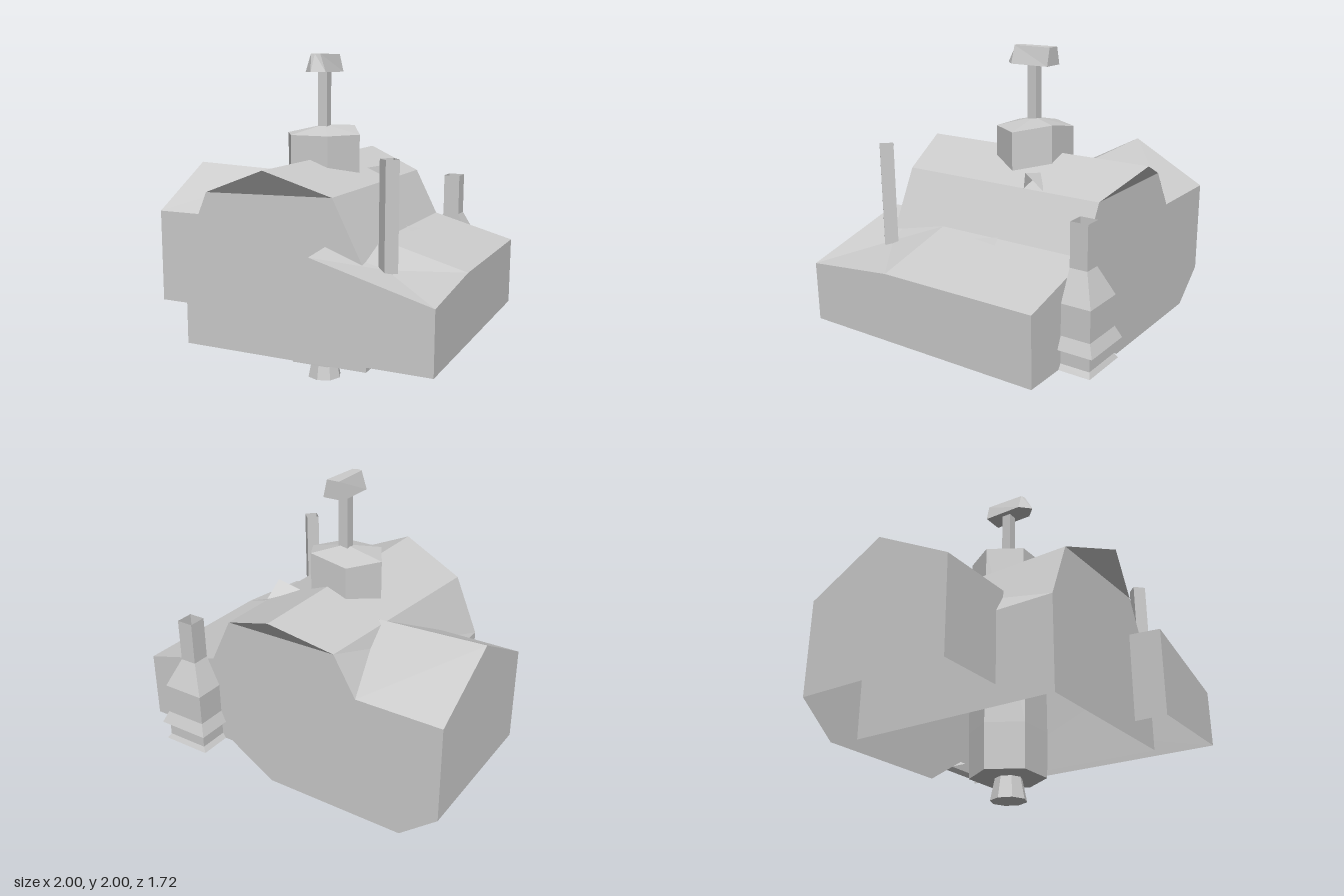
import * as THREE from 'three';

export function createModel() {
  const model = new THREE.Group();
  const stone = new THREE.MeshStandardMaterial({ color: 0xcccccc, side: THREE.DoubleSide, flatShading: true });
  stone.name = 'stone grey';

  const add = (name, geometry, parent = model) => {
    const mesh = new THREE.Mesh(geometry, stone);
    mesh.name = name;
    parent.add(mesh);
    return mesh;
  };

  // Flat panels, each a convex loop of [x, y, z] corners
  const panels = (name, faces) => {
    const pos = [];
    for (const f of faces)
      for (let i = 1; i < f.length - 1; i++) pos.push(...f[0], ...f[i], ...f[i + 1]);
    const g = new THREE.BufferGeometry();
    g.setAttribute('position', new THREE.Float32BufferAttribute(pos, 3));
    g.computeVertexNormals();
    return add(name, g);
  };

  // Open or closed outlines joined level to level
  const loft = (loops, closed) => {
    const faces = [];
    for (let k = 0; k < loops.length - 1; k++) {
      const a = loops[k], b = loops[k + 1], n = a.length;
      for (let i = 0; i < (closed ? n : n - 1); i++) {
        const j = (i + 1) % n;
        faces.push([a[i], a[j], b[j], b[i]]);
      }
    }
    return faces;
  };

  // Main hall: open-bottomed side walls swept from front to back
  const F = 0.66, B = -0.655;
  const front = [[-0.57, 0.33, F], [-0.57, 0.88, F], [-0.42, 1.235, F], [0.36, 1.255, F], [0.56, 0.86, F], [0.56, 0.33, F]];
  const back = [[-0.57, 0.33, B], [-0.57, 0.88, B], [-0.345, 1.26, B], [0.36, 1.255, B], [0.56, 0.86, B], [0.56, 0.33, B]];
  panels('hallFrontWall', [front]);
  panels('hallSideWalls', loft([front, back], false).filter((_, i) => i !== 2));

  // Hall roof with a ridge that leans out over both gables
  const ridgeF = [0, 1.39, 0.76], ridgeB = [0, 1.39, -0.76];
  panels('hallRoof', [
    [front[2], ridgeF, ridgeB, back[2]],
    [ridgeF, front[3], back[3], ridgeB],
    [front[2], front[3], ridgeF],
    [back[3], back[2], ridgeB],
  ]);

  // Single wall across the whole back
  const wall = new THREE.Shape([
    [-1, 0.45], [-0.77, 0.26], [0.11, 0.26], [0.4, 0.44], [1, 0.44], [1, 0.845],
    [0.5, 0.98], [0.36, 1.255], [-0.345, 1.26], [-0.48, 1.03], [-1, 1.03],
  ].map(([x, y]) => new THREE.Vector2(x, y)));
  add('backWall', new THREE.ShapeGeometry(wall).rotateY(0).translate(0, 0, B));

  // Gabled wing on the -x side
  panels('gabledWingWalls', [
    [[-1, 0.45, B], [-1, 0.45, 0.305], [-1, 1.03, 0.305], [-1, 1.29, -0.18], [-1, 1.03, B]],
    [[-1, 0.45, 0.305], [-0.57, 0.45, 0.305], [-0.5, 1.03, 0.305], [-1, 1.03, 0.305]],
  ]);
  panels('gabledWingRoof', [
    [[-1, 1.03, 0.305], [-0.5, 1.03, 0.305], [-0.33, 1.265, -0.18], [-1, 1.29, -0.18]],
    [[-1, 1.29, -0.18], [-0.33, 1.265, -0.18], [-0.48, 1.03, B], [-1, 1.03, B]],
  ]);

  // Lean-to wing on the +x side
  const W = 0.86;
  panels('leanToWalls', [
    [[1, 0.44, W], [1, 0.44, B], [1, 0.845, B], [1, 0.845, 0.31], [1, 0.79, W]],
    [[0.32, 0.44, W], [1, 0.44, W], [1, 0.79, W], [0.32, 0.975, W]],
    [[0.32, 0.44, F], [0.32, 0.44, W], [0.32, 0.975, W], [0.32, 0.99, F]],
  ]);
  const corners = [[0.32, 0.975, W], [1, 0.79, W], [1, 0.845, 0.31], [0.5, 0.98, 0.31], [0.32, 0.99, F]];
  panels('leanToRoof', [
    [[0.5, 0.98, 0.31], [1, 0.845, 0.31], [1, 0.845, B], [0.5, 0.98, B]],
    ...corners.map((c, i) => [c, corners[(i + 1) % corners.length], [0.64, 0.88, 0.58]]),
  ]);

  // Slim flue standing on the lean-to
  add('flue', new THREE.CylinderGeometry(0.055, 0.055, 0.62, 4, 1, true).translate(0.65, 1.155, 0.585));

  // Stepped chimney against the back wall: [height, half width, depth]
  const steps = [[0.44, 0.15, -0.845], [0.47, 0.13, -0.83], [0.56, 0.13, -0.83], [0.56, 0.16, -0.86], [0.63, 0.13, -0.83],
    [0.81, 0.13, -0.83], [0.98, 0.05, -0.76], [1.23, 0.05, -0.76]];
  const rings = steps.map(([y, w, z]) => [[0.6 - w, y, B], [0.6 - w, y, z], [0.6 + w, y, z], [0.6 + w, y, B]]);
  panels('chimney', loft(rings, true));

  // Six-sided turret through the hall, one top corner lifted
  const hex = (y, r) => Array.from({ length: 6 }, (_, i) => {
    const a = i * Math.PI / 3;
    return [r * Math.cos(a) - 0.007, y, r * 0.95 * Math.sin(a)];
  });
  const turretTop = hex(1.53, 0.238);
  turretTop[5][1] = 1.572;
  const turretFoot = hex(0.13, 0.232);
  panels('turretWalls', loft([turretFoot, hex(0.4, 0.238), turretTop], true));
  panels('turretRoof', turretTop.map((p, i) => [p, turretTop[(i + 1) % 6], [0, 1.585, 0]]));
  panels('turretFloor', [turretFoot]);
  add('foot', new THREE.CylinderGeometry(0.08, 0.107, 0.13, 8).translate(0, 0.065, 0));

  // Mast and weather vane
  add('mast', new THREE.BoxGeometry(0.06, 0.36, 0.06).translate(0, 1.73, 0));
  const vaneLow = [[-0.065, 1.895, -0.13], [0.065, 1.895, -0.13], [0.065, 1.895, 0.12], [0, 1.895, 0.185], [-0.065, 1.895, 0.12]];
  const vaneTop = [[-0.04, 2, -0.13], [0.04, 2, -0.13], [0.03, 2, 0.12], [0, 2, 0.13], [-0.03, 2, 0.12]];
  panels('weatherVane', [...loft([vaneLow, vaneTop], true), vaneTop, vaneLow]);

  // Loose roof slates
  panels('raisedSlates', [
    [[0.19, 1.31, -0.18], [0.36, 1.345, -0.18], [0.36, 1.26, -0.3]],
    [[0.19, 1.31, -0.18], [0.36, 1.345, -0.18], [0.36, 1.255, -0.17]],
    [[0.5, 0.99, -0.09], [0.585, 0.975, -0.13], [0.57, 0.98, 0.02]],
  ]);

  return model;
}
